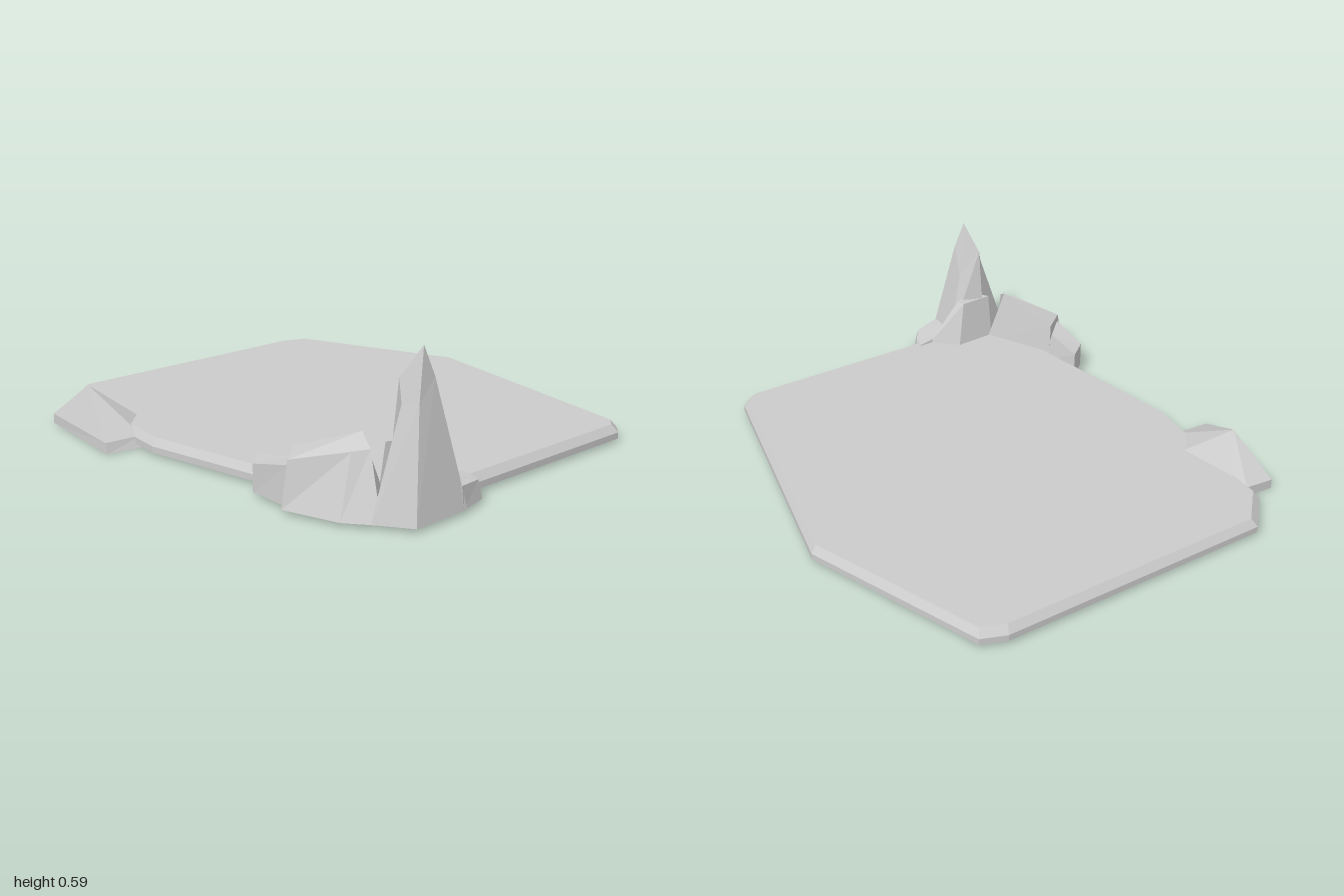
import * as THREE from 'three';

const material = new THREE.MeshStandardMaterial({
  color: 0xcccccc, flatShading: true, side: THREE.DoubleSide,
});

// Skins a stack of rings (points [x, y, z], counter-clockwise from above), open below.
// A one-point last ring is a tip; a wider one gets a flat cap.
function loft(name, rings) {
  const pos = [];
  const tri = (a, b, c) => pos.push(...a, ...b, ...c);
  for (let r = 0; r < rings.length - 1; r++) {
    const lo = rings[r], hi = rings[r + 1];
    for (let i = 0; i < lo.length; i++) {
      const j = (i + 1) % lo.length;
      if (hi.length === 1) tri(lo[i], lo[j], hi[0]);
      else { tri(lo[i], lo[j], hi[j]); tri(lo[i], hi[j], hi[i]); }
    }
  }
  const top = rings[rings.length - 1];
  for (let i = 1; i < top.length - 1; i++) tri(top[0], top[i], top[i + 1]);
  const geometry = new THREE.BufferGeometry();
  geometry.setAttribute('position', new THREE.Float32BufferAttribute(pos, 3));
  geometry.computeVertexNormals();
  const mesh = new THREE.Mesh(geometry, material);
  mesh.name = name;
  return mesh;
}

// Lifts a plan outline [x, z] to a height, optionally scaled about the slab centre
const level = (plan, y, s = 1) =>
  plan.map(([x, z]) => [0.05 + (x - 0.05) * s, y, -0.05 + (z + 0.05) * s]);

export function createModel() {
  const model = new THREE.Group();
  model.name = 'rockyPlatform';

  // Thin slab with a bevelled upper rim, hollow underneath
  const slab = [
    [-0.565, -1], [-0.7, -0.87], [-0.71, -0.75], [-0.79, -0.2], [-0.7, 0.42],
    [-0.66, 0.74], [-0.61, 0.88], [-0.22, 0.9], [0.6, 0.92], [0.65, 0.88],
    [0.9, -0.2], [0.655, -0.93], [0.56, -0.97],
  ];
  model.add(loft('platform', [level(slab, 0.015), level(slab, 0.04), level(slab, 0.07, 0.975)]));

  // Lone rock on the right edge, with a low skirt under a faceted tip
  const skirt = [
    [-0.83, -0.805], [-0.9, -0.335], [-0.72, -0.31], [-0.61, -0.43], [-0.66, -0.75], [-0.71, -0.79],
  ];
  const shoulder = [
    [-0.83, -0.805], [-0.895, -0.35], [-0.74, -0.335], [-0.62, -0.45], [-0.66, -0.75], [-0.71, -0.79],
  ];
  model.add(loft('edgeRock', [level(skirt, 0), level(shoulder, 0.04), [[-0.785, 0.19, -0.615]]]));

  // Corner cluster
  const cluster = new THREE.Group();
  cluster.name = 'cornerRocks';
  model.add(cluster);

  cluster.add(loft('spire', [
    [[-0.71, 0.015, 0.87], [-0.63, 0.015, 1], [-0.38, 0.015, 1], [-0.37, 0.05, 0.83], [-0.53, 0.05, 0.77]],
    [[-0.58, 0.4, 0.88], [-0.555, 0.4, 0.935], [-0.47, 0.48, 0.925], [-0.46, 0.36, 0.87], [-0.54, 0.47, 0.83]],
    [[-0.51, 0.59, 0.91]],
  ]));

  cluster.add(loft('shoulderRock', [
    [[-0.56, 0.03, 0.755], [-0.5, 0.03, 0.92], [-0.28, 0.06, 0.86], [-0.38, 0.06, 0.755]],
    [[-0.57, 0.25, 0.8], [-0.5, 0.26, 0.87], [-0.42, 0.25, 0.83], [-0.43, 0.25, 0.795]],
  ]));

  cluster.add(loft('middleRock', [
    [[-0.83, 0.015, 0.57], [-0.77, 0.015, 0.79], [-0.69, 0.015, 0.9], [-0.54, 0.04, 0.77], [-0.68, 0.04, 0.47]],
    [[-0.8, 0.185, 0.57], [-0.69, 0.23, 0.76], [-0.64, 0.24, 0.8], [-0.61, 0.28, 0.73], [-0.7, 0.19, 0.49]],
  ]));

  cluster.add(loft('smallRock', [
    [[-0.79, 0.015, 0.38], [-0.8, 0.015, 0.58], [-0.67, 0.015, 0.5], [-0.7, 0.015, 0.31]],
    [[-0.79, 0.12, 0.38], [-0.79, 0.16, 0.56], [-0.7, 0.15, 0.48], [-0.71, 0.12, 0.32]],
  ]));

  cluster.add(loft('lowRock', [
    [[-0.42, 0.015, 0.86], [-0.4, 0.015, 1], [-0.27, 0.015, 0.97], [-0.215, 0.015, 0.9], [-0.22, 0.015, 0.84]],
    [[-0.42, 0.1, 0.86], [-0.4, 0.1, 0.99], [-0.28, 0.085, 0.96], [-0.24, 0.075, 0.9], [-0.23, 0.075, 0.85]],
  ]));

  return model;
}
